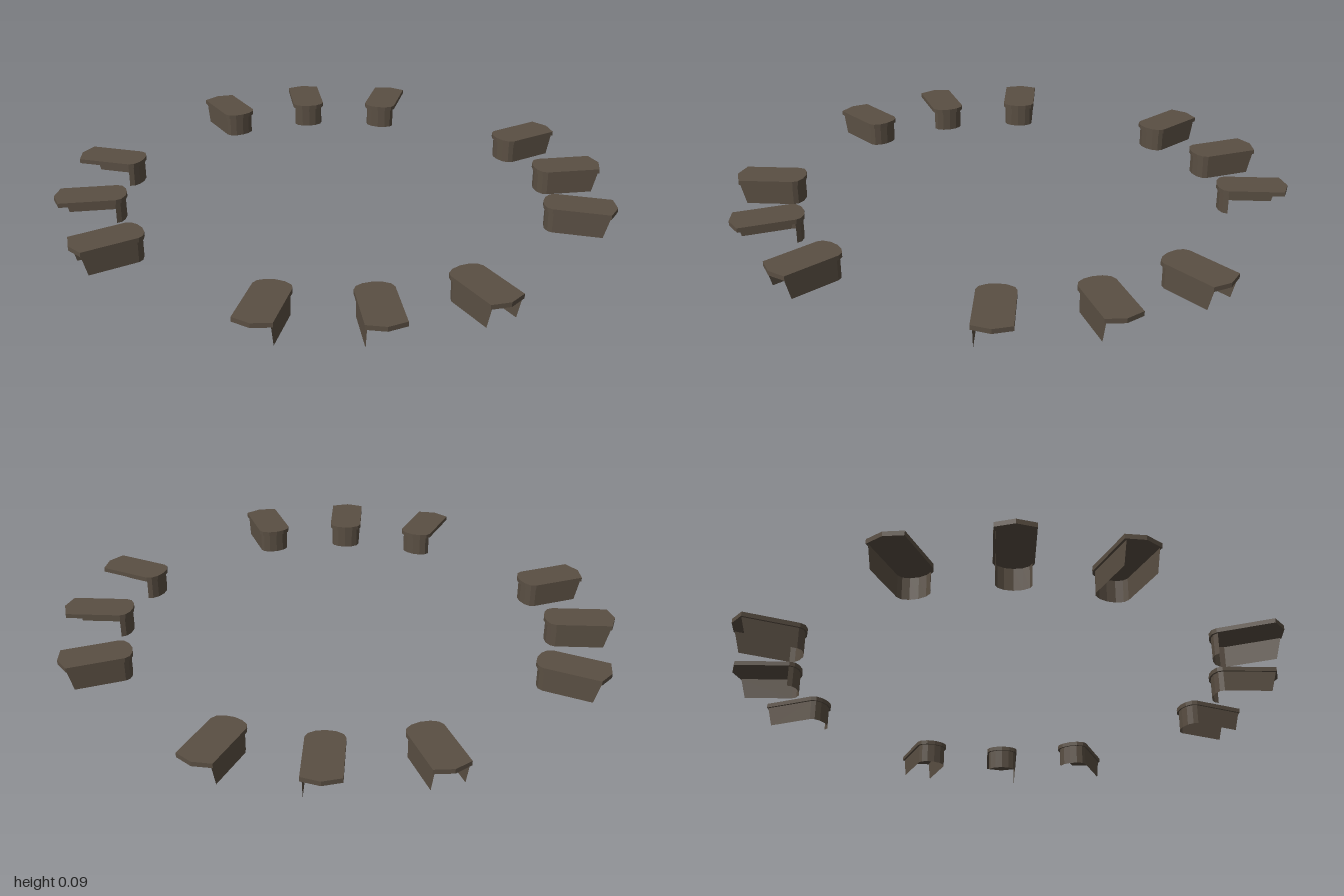
import * as THREE from 'three';

const WALL_TOP = 0.076, CAP_TOP = 0.092;

// Inner end of a block: a shallow arc from +z to -z, as [radius, side] points
function innerArc(halfWidth, start, bulge, steps = 6) {
  const pts = [];
  for (let i = 0; i <= steps; i++) {
    const a = Math.PI / 2 - (Math.PI * i) / steps;
    pts.push([start - bulge * Math.cos(a), halfWidth * Math.sin(a)]);
  }
  return pts;
}

// Cap slab: rounded inside, slightly pointed outside
function capGeometry() {
  const outline = [[0.979, 0.063], ...innerArc(0.063, 0.782, 0.037), [0.979, -0.063], [0.998, 0]];
  const shape = new THREE.Shape(outline.map(([x, y]) => new THREE.Vector2(x, y)));
  const g = new THREE.ExtrudeGeometry(shape, { depth: CAP_TOP - WALL_TOP, bevelEnabled: false });
  g.rotateX(Math.PI / 2);
  g.translate(0, CAP_TOP, 0);
  return g;
}

// Thin wall below the cap; its free ends lean inwards towards the ground
function wallGeometry(plusSide, minusSide) {
  const path = innerArc(0.056, 0.785, 0.034).map(([r, s]) => [r, r, s]);
  if (plusSide) path.unshift([0.957, 0.977, 0.056]);
  if (minusSide) path.push([0.957, 0.977, -0.056]);
  const pos = [], index = [];
  path.forEach(([low, high, s], i) => {
    pos.push(low, 0, s, high, WALL_TOP, s);
    if (i) {
      const b = 2 * i;
      index.push(b - 2, b - 1, b, b, b - 1, b + 1);
    }
  });
  const g = new THREE.BufferGeometry();
  g.setAttribute('position', new THREE.Float32BufferAttribute(pos, 3));
  g.setIndex(index);
  const flat = g.toNonIndexed();
  flat.computeVertexNormals();
  return flat;
}

export function createModel() {
  const model = new THREE.Group();
  model.name = 'blockRing';
  const stone = new THREE.MeshStandardMaterial({ color: 0x5a4f43, flatShading: true, side: THREE.DoubleSide });
  stone.name = 'dark brown stone';

  const cap = capGeometry();
  const bothWalls = wallGeometry(true, true);
  const plusWall = wallGeometry(true, false);
  const minusWall = wallGeometry(false, true);

  // Two opposite copies of six blocks: [angle from the front, wall]
  const layout = [
    [-22.5, minusWall], [0, plusWall], [22.5, bothWalls],
    [67.5, plusWall], [90, plusWall], [112.5, bothWalls],
  ];
  for (const half of [0, 180]) {
    for (const [angle, wall] of layout) {
      const block = new THREE.Group();
      block.name = 'block';
      const top = new THREE.Mesh(cap, stone);
      top.name = 'blockCap';
      const side = new THREE.Mesh(wall, stone);
      side.name = 'blockWall';
      top.position.z = side.position.z = -0.004;
      block.add(top, side);
      block.rotation.y = THREE.MathUtils.degToRad(angle + half - 90);
      model.add(block);
    }
  }
  return model;
}
